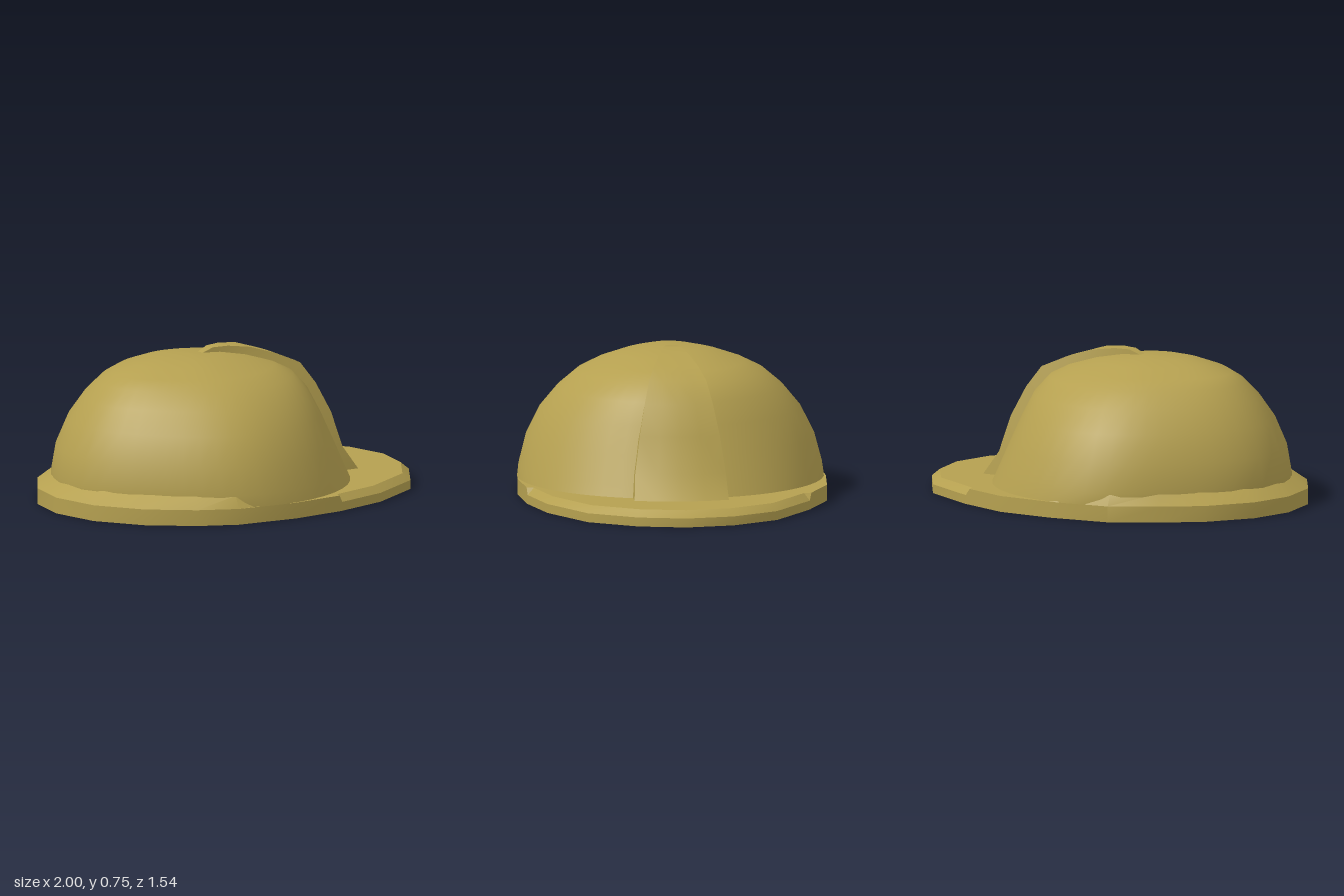
import * as THREE from 'three';
import { toCreasedNormals } from 'three/addons/utils/BufferGeometryUtils.js';

const COLOR = 0xb5a050;

// Skin consecutive cross-sections (arrays of [x, y, z]) with quads.
function loft(rings, closed = true, inward = false) {
  const n = rings[0].length, index = [];
  for (let i = 0; i < rings.length - 1; i++) {
    for (let j = 0; j < (closed ? n : n - 1); j++) {
      const k = (j + 1) % n;
      const a = i * n + j, b = i * n + k, c = a + n, d = b + n;
      if (inward) index.push(a, b, c, b, d, c);
      else index.push(a, c, b, b, c, d);
    }
  }
  const g = new THREE.BufferGeometry();
  g.setAttribute('position', new THREE.Float32BufferAttribute(rings.flat(2), 3));
  g.setIndex(index);
  g.computeVertexNormals();
  return g;
}

// Point on an oval section; pinch draws in the two rear diagonals.
function ovalPoint([y, xMin, xMax, rz], t, pinch) {
  const k = Math.cos(t) < 0 ? 1 - pinch * Math.sin(2 * t) ** 2 : 1;
  return [(xMin + xMax) / 2 + (k * (xMax - xMin) * Math.cos(t)) / 2, y, k * rz * Math.sin(t)];
}

function oval(section, sides, pinch = 0) {
  return Array.from({ length: sides }, (_, i) => ovalPoint(section, (i / sides) * Math.PI * 2, pinch));
}

// Flat downward-facing panel from [x, z] points.
function panel(points, hole) {
  const toV = (p) => new THREE.Vector2(p[0], p[1]);
  const shape = new THREE.Shape(points.map(toV));
  if (hole) shape.holes.push(new THREE.Path(hole.map(toV)));
  return new THREE.ShapeGeometry(shape).rotateX(Math.PI / 2);
}

export function createModel() {
  const group = new THREE.Group();
  const add = (name, geometry, options = {}) => {
    const mesh = new THREE.Mesh(geometry, new THREE.MeshStandardMaterial({ color: COLOR, ...options }));
    mesh.name = name;
    group.add(mesh);
    return mesh;
  };

  // Dome: y, back x, front x, half width
  const PINCH = 0.07;
  const profile = [
    [0.08, -0.91, 0.605, 0.765], [0.14, -0.925, 0.575, 0.757], [0.28, -0.9, 0.51, 0.72],
    [0.42, -0.84, 0.45, 0.65], [0.53, -0.765, 0.4, 0.56], [0.61, -0.69, 0.33, 0.465],
    [0.655, -0.625, 0.24, 0.37], [0.695, -0.5, 0.1, 0.25], [0.718, -0.38, -0.04, 0.15],
    [0.722, -0.2, -0.2, 0],
  ];
  add('dome', loft(profile.map((p) => oval(p, 48, PINCH))));

  // Hollow inside of the dome
  const inner = [
    [0, -0.69, 0.66, 0.58], [0.2, -0.68, 0.45, 0.57], [0.38, -0.64, 0.36, 0.51],
    [0.52, -0.54, 0.25, 0.4], [0.6, -0.43, 0.1, 0.27], [0.64, -0.2, -0.2, 0],
  ];
  add('domeLining', loft(inner.map((p) => oval(p, 24)), true, true));

  // Brim outline: x, z, and 1 where the visor edge is bevelled
  const outline = [
    [1, 0, 1], [0.95, 0.24, 1], [0.8, 0.48, 1], [0.5, 0.66, 1], [0.22, 0.738, 1],
    [0.2, 0.742, 0], [-0.08, 0.768, 0], [-0.4, 0.738, 0], [-0.59, 0.65, 0],
    [-0.8, 0.485, 0], [-0.95, 0.26, 0], [-1, 0, 0], [-0.95, -0.24, 0],
    [-0.8, -0.465, 0], [-0.62, -0.6, 0], [-0.4, -0.735, 0], [-0.08, -0.77, 0],
    [0.22, -0.755, 0], [0.46, -0.66, 0], [0.49, -0.65, 1], [0.8, -0.465, 1],
    [0.95, -0.24, 1],
  ];
  const brimRings = [
    outline.map(([x, z]) => [x, 0, z]),
    outline.map(([x, z, b]) => [x, b ? 0.045 : 0.08, z]),
    outline.map(([x, z, b]) => (b ? [x * 0.957, 0.08, z * 0.957] : [x, 0.08, z])),
    // Behind, the brim rises to meet the dome; in front it runs level beneath it
    outline.map(([x, z]) => {
      const t = Math.atan2(z / 0.765, (x + 0.17) / 0.76);
      return x < -0.3
        ? ovalPoint([0.14, -0.92, 0.57, 0.752], t, PINCH)
        : ovalPoint([0.08, -0.88, 0.58, 0.74], t, 0);
    }),
  ];
  add('brim', toCreasedNormals(loft(brimRings), 0.5));

  // Underside: open behind, closed below the visor by a barely recessed panel
  const rim = oval(inner[0], 24).map(([x, , z]) => [x, z]);
  const cutX = 0.13;
  const cutZ = 0.58 * Math.sqrt(1 - ((cutX + 0.015) / 0.675) ** 2);
  const cover = [
    [cutX, -cutZ],
    ...rim.filter((p) => p[0] > cutX && p[1] < -1e-6),
    ...rim.filter((p) => p[0] > cutX && p[1] >= -1e-6),
    [cutX, cutZ],
  ];
  add('brimUnderside', panel(outline, rim));
  add('visorUnderside', panel(cover)).position.y = 0.008;

  // Raised wedge down the front: centre x, y, half width
  const wedge = [
    [-0.15, 0.715, 0.018], [-0.08, 0.743, 0.03], [0, 0.745, 0.045], [0.12, 0.73, 0.073],
    [0.25, 0.69, 0.11], [0.38, 0.635, 0.143], [0.46, 0.53, 0.17], [0.54, 0.38, 0.2],
    [0.6, 0.2, 0.226], [0.69, 0.08, 0.235],
  ];
  const wedgeRings = wedge.map(([x, y, w]) => {
    const top = [-1, -0.5, 0, 0.5, 1].map((s) => [x - 0.04 * (s * w / 0.235) ** 2, y, s * w]);
    const sink = ([px, py, pz]) => [-0.2 + (px + 0.2) * 0.86, py * 0.88, pz * 1.02];
    return [sink(top[0]), ...top, sink(top[4])];
  });
  add('frontRidge', toCreasedNormals(loft(wedgeRings, false), 0.7), { side: THREE.DoubleSide });

  return group;
}
